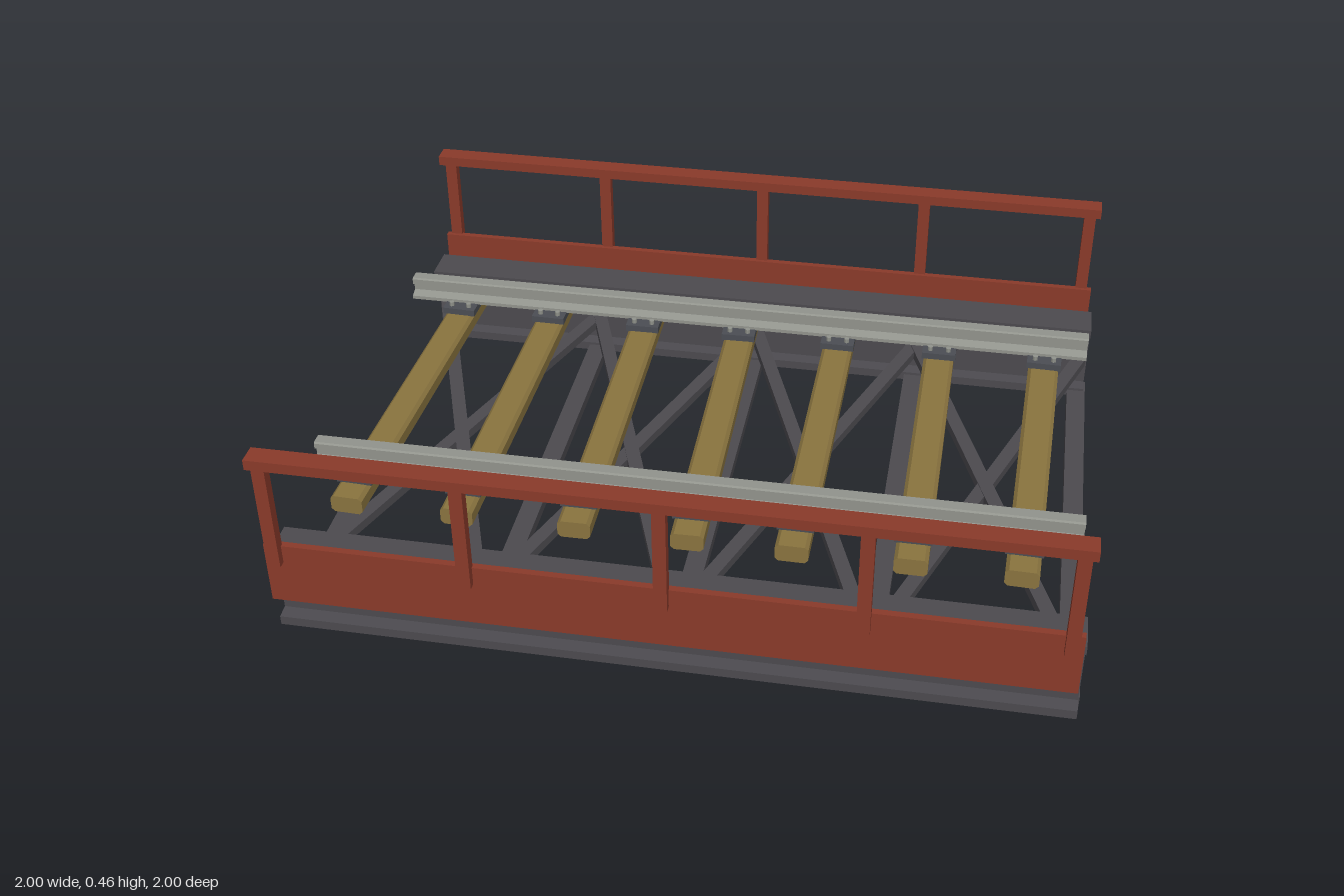
import * as THREE from 'three';

const mat = (name, color) => {
  const m = new THREE.MeshStandardMaterial({ color });
  m.name = name;
  return m;
};

export function createModel() {
  const steel = mat('dark steel', 0x4c4a4f);
  const red = mat('rust red paint', 0x8a3a2a);
  const wood = mat('timber', 0x8a743f);
  const railGrey = mat('rail grey', 0x92948d);
  const plateGrey = mat('plate grey', 0x4b4e54);

  // The deck runs along local x, and is turned diagonally in the frame
  const deck = new THREE.Group();
  deck.name = 'bridgeDeck';
  deck.rotation.y = Math.PI / 4;

  const add = (name, geo, material, x, y, z, parent = deck) => {
    const m = new THREE.Mesh(geo, material);
    m.name = name;
    m.position.set(x, y, z);
    parent.add(m);
    return m;
  };
  const box = (name, material, w, h, d, x, y, z, parent) =>
    add(name, new THREE.BoxGeometry(w, h, d), material, x, y, z, parent);

  // Extrude a closed outline (in z, y) along x or z, centred on its length
  const bar = (points, length) => {
    const shape = new THREE.Shape(points.map(p => new THREE.Vector2(p[0], p[1])));
    const g = new THREE.ExtrudeGeometry(shape, { depth: length, bevelEnabled: false });
    return g.translate(0, 0, -length / 2);
  };
  // Mirror a right-hand half outline across its centre line
  const mirrored = half => [...half, ...half.slice().reverse().map(([x, y]) => [-x, y])];

  // Rail cross-section: foot, web, head
  const railGeo = bar(mirrored([
    [0.025, 0], [0.025, 0.008], [0.006, 0.015], [0.006, 0.03],
    [0.015, 0.034], [0.015, 0.046], [0.012, 0.049]]), 1.54).rotateY(Math.PI / 2);

  // I-girder cross-section
  const girderGeo = bar(mirrored([
    [0.042, 0.01], [0.042, 0.03], [0.014, 0.033], [0.014, 0.168],
    [0.042, 0.172], [0.042, 0.192]]), 1.57).rotateY(Math.PI / 2);

  for (const side of [-1, 1]) {
    add('girder', girderGeo, steel, 0, 0, side * 0.543);
    add('rail', railGeo, railGrey, 0, 0.237, side * 0.327);

    // Side guard: kick plate, posts and handrail
    const guard = new THREE.Group();
    guard.name = 'sideGuard';
    deck.add(guard);
    box('kickPlate', red, 1.556, 0.137, 0.014, 0, 0.1715, side * 0.608, guard);
    box('handrail', red, 1.556, 0.022, 0.042, 0, 0.444, side * 0.615, guard);
    for (let i = -2; i <= 2; i++)
      box('guardPost', red, 0.026, 0.235, 0.022, i * 0.3775, 0.318, side * 0.62, guard);
  }

  // Cross ties under the girders
  for (let i = -2; i <= 2; i++)
    box('crossTie', steel, 0.042, 0.024, 1.08, i * 0.384, 0.012, 0);

  // Crossed diagonal braces in the four bays
  for (let i = 0; i < 4; i++) {
    for (const s of [-1, 1]) {
      const dx = s * 0.384, dz = 1.06;
      const brace = box('diagonalBrace', steel, 0.03, 0.02, Math.hypot(dx, dz),
        -0.576 + i * 0.384, 0.09 + s * 0.001, 0);
      brace.rotation.y = Math.atan2(dx, dz);
    }
  }

  // Slightly uneven sleepers: x position at each end
  const sleeperGeo = bar(mirrored([
    [0.026, -0.019], [0.033, -0.012], [0.033, 0.012], [0.026, 0.019]]), 0.86);
  const boltGeo = new THREE.CylinderGeometry(0.006, 0.006, 0.012, 6);
  const ends = [[-0.647, -0.679], [-0.44, -0.452], [-0.224, -0.214], [-0.005, 0.012],
    [0.222, 0.218], [0.448, 0.448], [0.682, 0.66]];
  for (const [a, b] of ends) {
    const g = new THREE.Group();
    g.name = 'sleeperSet';
    g.position.x = (a + b) / 2;
    g.rotation.y = Math.atan2(b - a, 0.82);
    deck.add(g);
    add('sleeper', sleeperGeo, wood, 0, 0.205, 0, g);
    // Tie plates with bolts beside each rail
    for (const side of [-1, 1]) {
      box('tiePlate', plateGrey, 0.074, 0.015, 0.11, 0, 0.231, side * 0.327, g);
      for (const bx of [-0.02, 0.02])
        for (const bz of [-0.04, 0.04])
          add('plateBolt', boltGeo, railGrey, bx, 0.242, side * 0.327 + bz, g);
    }
  }

  const root = new THREE.Group();
  root.name = 'railBridge';
  root.add(deck);
  return root;
}
